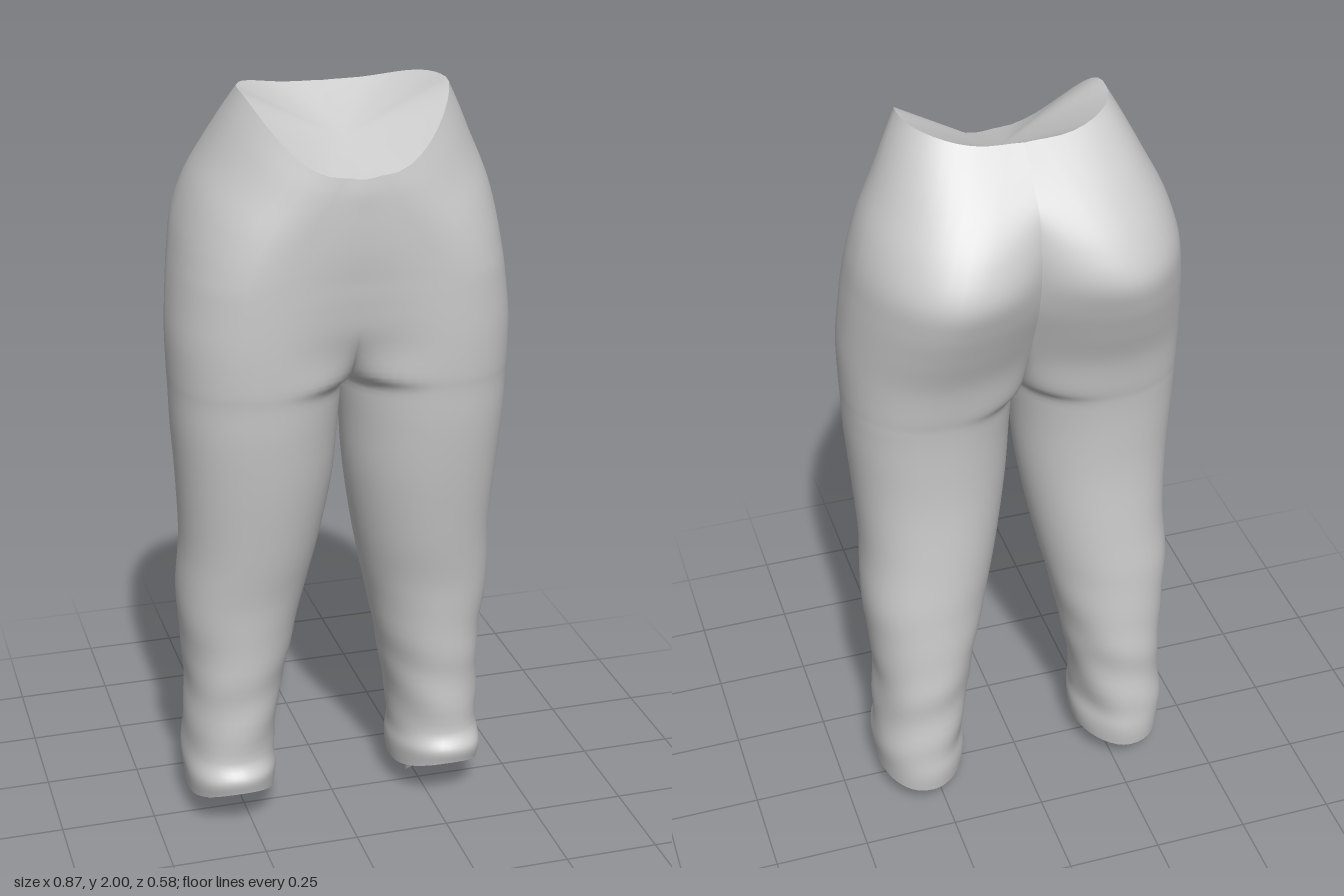
import * as THREE from 'three';
import { mergeVertices } from 'three/addons/utils/BufferGeometryUtils.js';

const grey = new THREE.MeshStandardMaterial({ color: 0xcccccc, side: THREE.DoubleSide });
const STEPS = 10; // samples per quarter of a section
const SUB = 5; // rings between two sections
const { clamp, smoothstep, lerp } = THREE.MathUtils;

// Sections of one side, cuff to waist: height, inner x, outer x, front z, back z.
// Above the crotch, also the front and back z at the centre seam.
const SECTIONS = [
  [0.08, 0.17, 0.405, 0.155, -0.175],
  [0.14, 0.163, 0.41, 0.162, -0.182],
  [0.21, 0.168, 0.407, 0.138, -0.18],
  [0.36, 0.148, 0.4, 0.145, -0.178],
  [0.48, 0.125, 0.403, 0.153, -0.178],
  [0.66, 0.085, 0.418, 0.172, -0.17],
  [0.82, 0.05, 0.41, 0.203, -0.16],
  [1.0, 0.02, 0.418, 0.236, -0.152],
  [1.15, 0.008, 0.428, 0.258, -0.158],
  [1.25, 0, 0.431, 0.268, -0.168],
  [1.3, 0, 0.433, 0.274, -0.178, 0.17, -0.05],
  [1.4, 0, 0.434, 0.28, -0.2, 0.245, -0.12],
  [1.5, 0, 0.426, 0.283, -0.238, 0.268, -0.165],
  [1.59, 0, 0.415, 0.284, -0.27, 0.277, -0.2],
  [1.68, 0, 0.4, 0.284, -0.288, 0.283, -0.218],
  [1.77, 0, 0.372, 0.284, -0.256, 0.286, -0.215],
  [1.86, 0, 0.328, 0.284, -0.198, 0.287, -0.19],
  [1.94, 0, 0.288, 0.283, -0.13, 0.287, -0.13],
  [2.0, 0, 0.255, 0.28, -0.075, 0.283, -0.077],
].map(fullSection);

// Legs close at the inseam, halfway between front and back
function fullSection([y, xi, xo, zf, zb, zfIn = (zf + zb) / 2, zbIn = (zf + zb) / 2]) {
  return [y, xi, xo, zf, zb, zfIn, zbIn];
}

// Points of one section, from the front seam around the outside to the back seam
function ring([h, xInner, xo, zf, zb, zfIn, zbIn]) {
  const xi = Math.max(0, xInner), zm = (zf + zb) / 2;
  // The waist dips at the front and grows rounder; the cuff lifts at the front
  const waist = Math.max(0, (h - 1.55) / 0.45);
  const cuff = Math.max(0, (0.21 - h) / 0.13);
  const seat = Math.sin(Math.PI * clamp((h - 1.25) / 0.75, 0, 1));
  const hip = smoothstep(h, 1.27, 1.45);
  const xc = ((xi + xo) / 2) * (1 - 0.6 * waist * waist);
  const points = [];
  for (let j = 0; j <= 4 * STEPS; j++) {
    const a = ((j / STEPS - 1) * Math.PI) / 2; // 0 at the front, PI at the back
    const front = j <= 2 * STEPS;
    const s = Math.sin(a), c = Math.abs(Math.cos(a));
    const edge = front ? zf : zb;
    let x, z;
    if (j >= STEPS && j <= 3 * STEPS) {
      const power = 0.88 + (front ? 0.12 * waist : 0.2 * seat);
      x = xc + (xo - xc) * Math.pow(Math.max(s, 0), power);
      z = zm + (edge - zm) * Math.pow(c, power);
    } else {
      // Rounded thigh below, smooth belly or seat cleft above
      const blend = front ? s * s * (3 + 2 * s) : s * s;
      const seam = xi > 0 ? zm : front ? zfIn : zbIn;
      x = xc + (xc - xi) * s;
      z = lerp(edge, seam, lerp(1 - c, blend, hip));
    }
    const u = (z - zm) / (edge - zm);
    const y = h + (front ? (0.045 * cuff - 0.18 * waist) * u ** 2 : -(0.012 * cuff + 0.03 * waist) * u ** 4);
    // Soft uneven folds gathering towards the cuff
    const fade = clamp((0.75 - h) / 0.5, 0, 1) * Math.min(1, h / 0.2);
    const wave = Math.sin(h * 40 + 2.2 * Math.cos(a) + 1.5 * s) + Math.sin(h * 23 - 4 * Math.cos(a) + 2 * s);
    const fold = 1 + 0.016 * fade * wave;
    points.push(new THREE.Vector3(xc + (x - xc) * fold, y, zm + (z - zm) * fold));
  }
  return points;
}

// Sections joined into a smooth skin, mirrored to both sides and welded at the seam
function loft(sections, sub) {
  const last = sections.length - 1;
  const spline = (p0, p1, p2, p3, t) =>
    p1 + 0.5 * t * (p2 - p0 + t * (2 * p0 - 5 * p1 + 4 * p2 - p3 + t * (3 * (p1 - p2) + p3 - p0)));
  const rings = [];
  for (let k = 0; k <= last * sub; k++) {
    const i = Math.min(Math.floor(k / sub), last - 1);
    const [p0, p1, p2, p3] = [i - 1, i, i + 1, i + 2].map((n) => sections[clamp(n, 0, last)]);
    rings.push(ring(p1.map((v, m) => spline(p0[m], v, p2[m], p3[m], k / sub - i))));
  }
  const cols = 4 * STEPS + 1, positions = [], index = [];
  for (const side of [1, -1]) {
    const base = positions.length / 3;
    rings.forEach((r) => r.forEach((p) => positions.push(p.x * side, p.y, p.z)));
    for (let i = 0; i < rings.length - 1; i++) {
      for (let j = 0; j < cols - 1; j++) {
        const a = base + i * cols + j, b = a + 1, d = a + cols, c = d + 1;
        if (side > 0) index.push(a, b, c, a, c, d);
        else index.push(a, c, b, a, d, c);
      }
    }
  }
  return finish(positions, index);
}

function finish(positions, index) {
  const raw = new THREE.BufferGeometry();
  raw.setAttribute('position', new THREE.Float32BufferAttribute(positions, 3));
  raw.setIndex(index);
  const welded = mergeVertices(raw, 1e-4);
  welded.computeVertexNormals();
  return welded;
}

// Shallow hollow closing the waist, fanned to one low point
function waistCap() {
  const half = ring(SECTIONS[SECTIONS.length - 1]);
  const mirrored = half.slice(1, -1).reverse().map((p) => new THREE.Vector3(-p.x, p.y, p.z));
  const rim = [...half, ...mirrored];
  const positions = [0, 1.87, 0.1], index = [];
  rim.forEach((p, i) => {
    positions.push(p.x, p.y, p.z);
    index.push(0, i + 1, ((i + 1) % rim.length) + 1);
  });
  return finish(positions, index);
}

// Ragged ankle end below each cuff
function ankleStub() {
  const g = new THREE.CylinderGeometry(0.06, 0.055, 0.14, 8, 1, true);
  const p = g.attributes.position;
  for (let i = 0; i < p.count; i++) {
    const x = p.getX(i), z = p.getZ(i);
    if (p.getY(i) > 0) p.setXYZ(i, x, 0.15, z * 1.2 - 0.01);
    else {
      const jag = Math.abs(x) > 0.05 ? 0 : z > 0 ? 0.05 : 0.034;
      p.setXYZ(i, x, jag, z * 1.45 - 0.045);
    }
  }
  g.computeVertexNormals();
  return g;
}

export function createModel() {
  const group = new THREE.Group();
  const add = (name, geometry, x = 0) => {
    const mesh = new THREE.Mesh(geometry, grey);
    mesh.name = name;
    mesh.position.x = x;
    group.add(mesh);
  };
  add('trousers', loft(SECTIONS, SUB));
  add('waistHollow', waistCap());
  // Underside of the cuffs, turned in towards the ankles
  add('cuffLining', loft([fullSection([0.14, 0.232, 0.34, 0.06, -0.08]), SECTIONS[0]], 1));
  const stub = ankleStub();
  add('leftAnkle', stub, 0.283);
  add('rightAnkle', stub, -0.283);
  return group;
}
